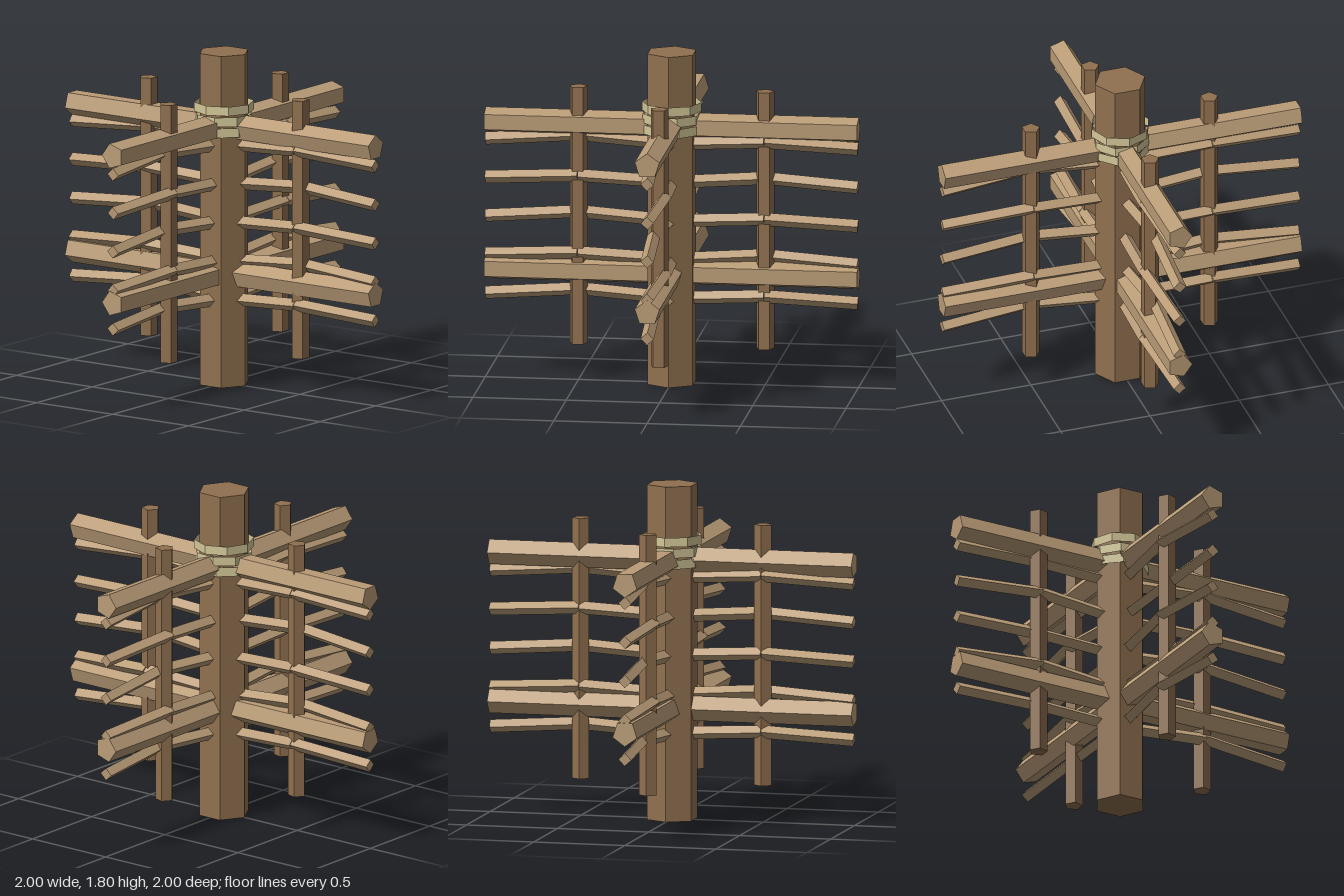
import * as THREE from 'three';

const UP = new THREE.Vector3(0, 1, 0);

export function createModel() {
  const model = new THREE.Group();
  model.name = 'woodenRack';

  const darkWood = new THREE.MeshStandardMaterial({ color: 0x90704f, flatShading: true });
  darkWood.name = 'dark wood';
  const paleWood = new THREE.MeshStandardMaterial({ color: 0xba9c77, flatShading: true });
  paleWood.name = 'pale wood';
  const rope = new THREE.MeshStandardMaterial({ color: 0xd4c898, flatShading: true, side: THREE.DoubleSide });
  rope.name = 'straw rope';

  // Straight faceted pole between two points
  function pole(name, from, to, radius, sides, material, parent = model) {
    const axis = to.clone().sub(from);
    const geometry = new THREE.CylinderGeometry(radius, radius, axis.length(), sides);
    geometry.rotateY(Math.PI);
    const mesh = new THREE.Mesh(geometry, material);
    mesh.quaternion.setFromUnitVectors(UP, axis.normalize());
    mesh.position.copy(from).add(to).multiplyScalar(0.5);
    mesh.name = name;
    parent.add(mesh);
  }

  const V = (x, y, z) => new THREE.Vector3(x, y, z);

  pole('centrePost', V(0, 0, 0), V(0, 1.8, 0), 0.14, 6, darkWood);

  // Four arms, each with two rails, a stake and five woven twigs
  for (const [dx, dz] of [[1, 0], [0, 1], [-1, 0], [0, -1]]) {
    const arm = new THREE.Group();
    arm.name = 'arm';
    model.add(arm);
    // Point on the arm: distance out, height, sideways offset
    const at = (out, y, side = 0) => V(dx * out - dz * side, y, dz * out + dx * side);

    for (const y of [0.6, 1.4]) pole('rail', at(0, y), at(1, y), 0.07, 5, paleWood, arm);
    pole('stake', at(0.5, 0.2), at(0.5, 1.6), 0.05, 5, darkWood, arm);

    for (let i = 0; i < 5; i++) {
      const y = 0.46 + i * 0.21;
      const bend = at(0.5, y + 0.03, i % 2 ? -0.03 : 0.03);
      pole('innerTwig', at(0, y), bend, 0.035, 4, paleWood, arm);
      pole('outerTwig', bend, at(0.998, y), 0.035, 4, paleWood, arm);
    }
  }

  // Rope bands lashed around the post
  [[1.385, 0.152, 0.39], [1.445, 0.157, 0.3], [1.505, 0.16, 0]].forEach(([y, radius, turn]) => {
    const band = new THREE.Mesh(new THREE.CylinderGeometry(radius, radius, 0.05, 8, 1, true), rope);
    band.position.y = y;
    band.rotation.y = turn;
    band.name = 'ropeBand';
    model.add(band);
  });

  return model;
}
